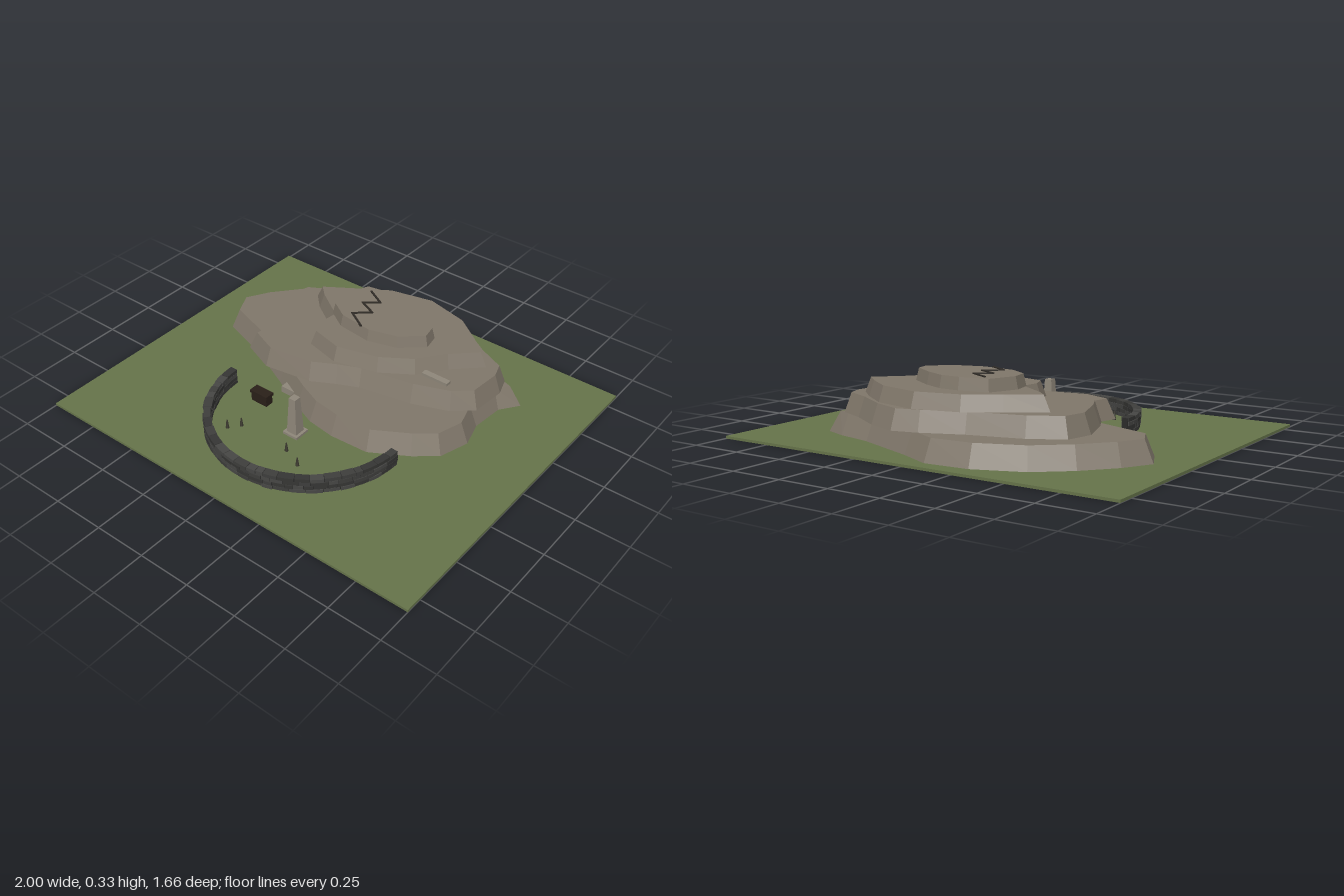
import * as THREE from 'three';

const mat = (color, extra = {}) => new THREE.MeshStandardMaterial({ color, flatShading: true, ...extra });
const GRASS = mat(0x66744a), ROCK = mat(0x80776a), PALE = mat(0x8f877a);
const DARK = mat(0x302c27), WOOD = mat(0x2a2019), STAKE = mat(0x3c3a30);
const STONES = [mat(0x3e3e3c), mat(0x474745), mat(0x363634)], MORTAR = mat(0x2b2b2a);

let seed = 7;
const rand = () => (seed = (seed * 16807) % 2147483647) / 2147483647;

function add(parent, name, geometry, material, x = 0, y = 0, z = 0) {
  const mesh = new THREE.Mesh(geometry, material);
  mesh.name = name;
  mesh.position.set(x, y, z);
  parent.add(mesh);
  return mesh;
}

// Box given by its extents
function block(parent, name, material, x0, x1, y0, y1, z0, z1) {
  return add(parent, name, new THREE.BoxGeometry(x1 - x0, y1 - y0, z1 - z0), material,
    (x0 + x1) / 2, (y0 + y1) / 2, (z0 + z1) / 2);
}

// Mitred inset of a closed outline
function insetOutline(pts, d) {
  const n = pts.length, sign = THREE.ShapeUtils.area(pts) > 0 ? 1 : -1;
  const normal = (a, b) => new THREE.Vector2(a.y - b.y, b.x - a.x).normalize().multiplyScalar(sign);
  return pts.map((p, i) => {
    const n1 = normal(pts[(i + n - 1) % n], p), n2 = normal(p, pts[(i + 1) % n]);
    const m = n1.clone().add(n2).normalize();
    return p.clone().addScaledVector(m, d / Math.max(0.65, m.dot(n1)));
  });
}

// Rock terrace: an outline extruded upwards, with its upper rim drawn in
function terrace(outline, y0, y1, inset) {
  const pts = outline.map(([x, z]) => new THREE.Vector2(x, -z));
  const rim = insetOutline(pts, inset);
  const geo = new THREE.ExtrudeGeometry(new THREE.Shape(pts), { depth: y1 - y0, bevelEnabled: false });
  const pos = geo.attributes.position, v = new THREE.Vector2();
  for (let i = 0; i < pos.count; i++) {
    if (pos.getZ(i) < (y1 - y0) / 2) continue;
    v.set(pos.getX(i), pos.getY(i));
    const k = pts.findIndex(p => p.distanceTo(v) < 1e-4);
    pos.setXY(i, rim[k].x, rim[k].y);
  }
  geo.rotateX(-Math.PI / 2).translate(0, y0, 0);
  geo.computeVertexNormals();
  return geo;
}

// Curved block between two angles and two radii (angle 0 = +x, rising towards +z)
function arcBlock(a0, a1, r0, r1, h, segments) {
  const s = new THREE.Shape();
  for (let i = 0; i <= segments; i++) {
    const a = a0 + (a1 - a0) * i / segments;
    s[i ? 'lineTo' : 'moveTo'](r1 * Math.cos(a), -r1 * Math.sin(a));
  }
  for (let i = segments; i >= 0; i--) {
    const a = a0 + (a1 - a0) * i / segments;
    s.lineTo(r0 * Math.cos(a), -r0 * Math.sin(a));
  }
  return new THREE.ExtrudeGeometry(s, { depth: h, bevelEnabled: false }).rotateX(-Math.PI / 2);
}

export function createModel() {
  const model = new THREE.Group();
  model.name = 'rockyHillSite';

  block(model, 'ground', GRASS, -1, 1, 0, 0.012, -0.83, 0.83);

  // Four stacked rock terraces
  const hill = new THREE.Group();
  hill.name = 'hill';
  model.add(hill);
  const tiers = [
    { y: [0.012, 0.11], inset: 0.038, outline: [
      [-0.845, -0.27], [-0.78, -0.135], [-0.52, -0.045], [-0.3, 0.06], [-0.12, 0.15], [0, 0.2], [0.14, 0.22],
      [0.33, 0.21], [0.5, 0.11], [0.6, 0.03], [0.645, -0.115], [0.61, -0.24], [0.625, -0.4], [0.69, -0.49],
      [0.58, -0.53], [0.4, -0.57], [0.09, -0.69], [-0.07, -0.765], [-0.28, -0.75], [-0.5, -0.665],
      [-0.65, -0.54], [-0.77, -0.4]] },
    { y: [0.11, 0.2], inset: 0.03, outline: [
      [-0.585, -0.32], [-0.555, -0.45], [-0.405, -0.535], [-0.155, -0.6], [0.03, -0.675], [0.15, -0.705],
      [0.3, -0.65], [0.46, -0.55], [0.595, -0.49], [0.625, -0.4], [0.61, -0.23], [0.52, -0.15], [0.35, -0.085],
      [0.1, -0.035], [0, 0.01], [-0.11, 0.07], [-0.34, 0.105], [-0.5, 0.04], [-0.48, -0.05], [-0.52, -0.13]] },
    { y: [0.2, 0.27], inset: 0.023, outline: [
      [-0.44, -0.4], [-0.28, -0.505], [-0.13, -0.6], [0.085, -0.65], [0.3, -0.6], [0.435, -0.505], [0.53, -0.42],
      [0.405, -0.3], [0.31, -0.175], [0.165, -0.08], [-0.04, -0.025], [-0.21, -0.067], [-0.245, -0.16],
      [-0.235, -0.24], [-0.37, -0.33]] },
    { y: [0.27, 0.325], inset: 0.012, outline: [
      [-0.245, -0.345], [-0.19, -0.48], [-0.05, -0.505], [0.05, -0.5], [0.15, -0.457], [0.27, -0.38],
      [0.285, -0.3], [0.18, -0.21], [0.04, -0.17], [-0.13, -0.19], [-0.225, -0.25]] },
  ];
  tiers.forEach((t, i) => add(hill, 'terrace' + (i + 1), terrace(t.outline, ...t.y, t.inset), ROCK));

  // Zigzag crack on the summit
  const crack = [[-0.14, -0.44], [-0.05, -0.39], [-0.115, -0.34], [-0.03, -0.3], [-0.1, -0.24], [-0.01, -0.185]];
  for (let i = 1; i < crack.length; i++) {
    const [[x0, z0], [x1, z1]] = [crack[i - 1], crack[i]];
    const strip = add(hill, 'summitCrack', new THREE.BoxGeometry(Math.hypot(x1 - x0, z1 - z0) + 0.008, 0.008, 0.009),
      DARK, (x0 + x1) / 2, 0.326, (z0 + z1) / 2);
    strip.rotation.y = -Math.atan2(z1 - z0, x1 - x0);
  }

  // Flat stone ledges
  block(hill, 'upperLedge', PALE, 0.335, 0.47, 0.195, 0.214, -0.22, -0.19);
  block(hill, 'lowerLedge', PALE, -0.24, -0.15, 0.012, 0.045, -0.04, 0.115);

  // Half-ring dry stone wall: a core faced with courses of uneven stones
  const wall = new THREE.Group();
  wall.name = 'stoneWall';
  wall.position.set(0, 0.012, 0.19);
  model.add(wall);
  add(wall, 'wallCore', arcBlock(0, Math.PI, 0.452, 0.48, 0.074, 40), MORTAR);
  const courses = 4, h = 0.0195;
  for (let c = 0; c < courses; c++) {
    let a = 0;
    while (a < Math.PI) {
      let end = Math.min(Math.PI, a + 0.07 + 0.09 * rand());
      if (Math.PI - end < 0.05) end = Math.PI;
      const stone = arcBlock(a + 0.003, end - 0.003, 0.45 - 0.004 * rand(), 0.481 + 0.006 * rand(), h - 0.002, 2);
      add(wall, 'wallStone', stone, STONES[Math.floor(rand() * 3)], 0, c * h, 0);
      a = end;
    }
  }

  // Tapered standing stone on a square plinth
  const monument = new THREE.Group();
  monument.name = 'standingStone';
  monument.position.set(0, 0.012, 0.3);
  model.add(monument);
  add(monument, 'plinth', new THREE.BoxGeometry(0.08, 0.012, 0.08), PALE, 0, 0.006, 0);
  const shaft = new THREE.CylinderGeometry(0.025, 0.038, 0.186, 4).rotateY(Math.PI / 4);
  add(monument, 'shaft', shaft, PALE, 0, 0.105, 0);

  // Dark chest with a lid
  const chest = new THREE.Group();
  chest.name = 'chest';
  model.add(chest);
  block(chest, 'chestBody', WOOD, -0.31, -0.22, 0.012, 0.056, 0.204, 0.246);
  block(chest, 'chestLid', WOOD, -0.315, -0.215, 0.056, 0.07, 0.2, 0.25);

  // Small pointed markers in the yard
  for (const [x, z] of [[-0.22, 0.415], [-0.26, 0.465], [0.05, 0.42], [0.15, 0.465], [0.32, 0.47]])
    add(model, 'marker', new THREE.CylinderGeometry(0.003, 0.009, 0.044, 6), STAKE, x, 0.034, z);

  return model;
}
